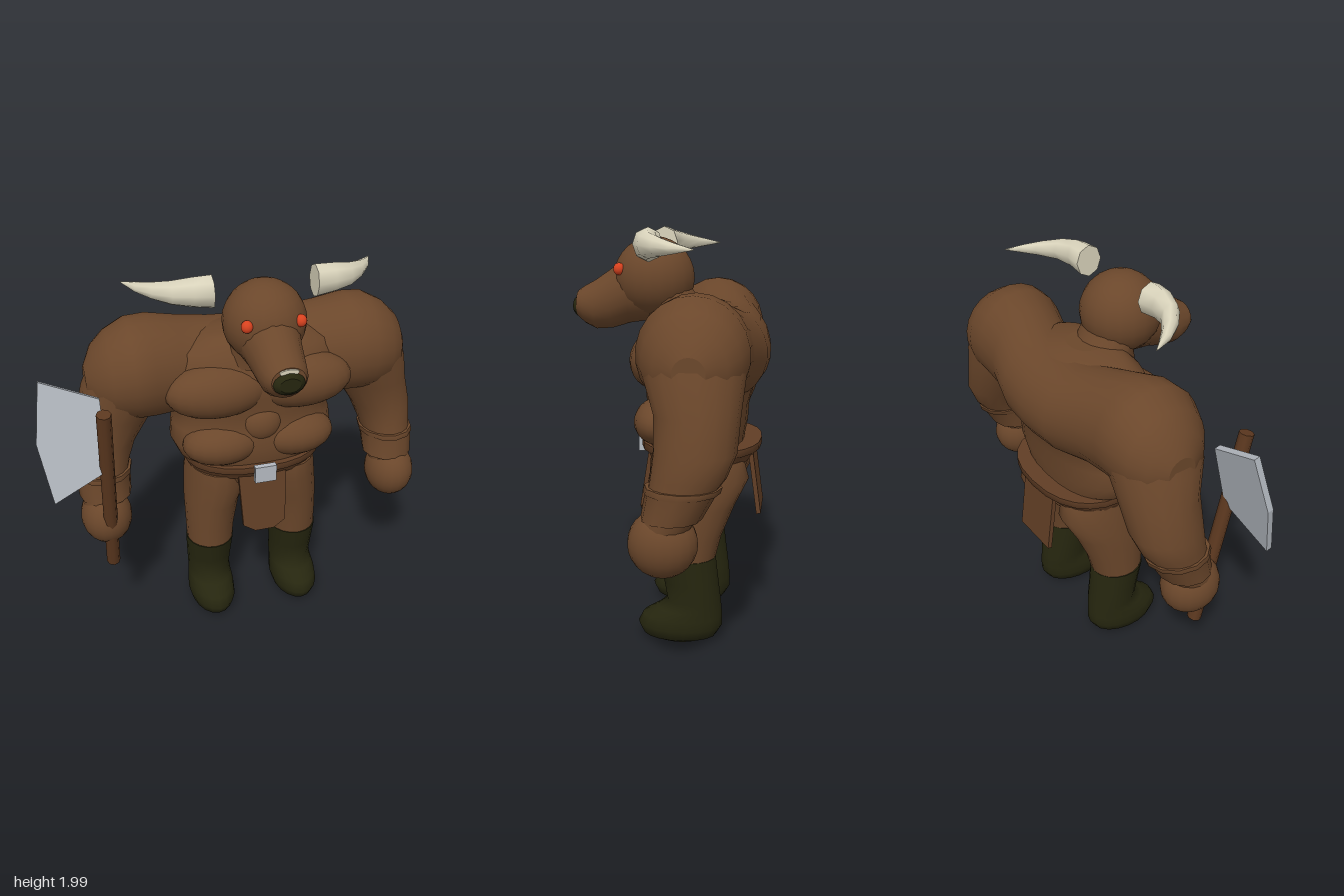
import * as THREE from 'three';

const mat = (name, color) => {
  const m = new THREE.MeshStandardMaterial({ color });
  m.name = name;
  return m;
};

// Closed skin through elliptical rings along one axis, in increasing order.
// Ring: [t, u, v, ru, rv]; (u, v) is (y, z) for x, (z, x) for y, (x, y) for z.
function loft(axis, rings, n = 18, power = 1) {
  const t = 'xyz'.indexOf(axis), u = (t + 1) % 3, v = (t + 2) % 3;
  const pos = [], idx = [];
  const add = (a, b, c) => {
    const p = [0, 0, 0];
    p[t] = a; p[u] = b; p[v] = c;
    return pos.push(...p) / 3 - 1;
  };
  const bend = k => Math.sign(k) * Math.abs(k) ** power;
  const ring = ([a, b, c, ru, rv]) => {
    for (let j = 0; j < n; j++) {
      const w = j / n * Math.PI * 2;
      add(a, b + ru * bend(Math.cos(w)), c + rv * bend(Math.sin(w)));
    }
  };
  rings.forEach(ring);
  for (let i = 0; i < rings.length - 1; i++) for (let j = 0; j < n; j++) {
    const a = i * n + j, b = i * n + (j + 1) % n;
    idx.push(a, b, b + n, a, b + n, a + n);
  }
  [rings[0], rings[rings.length - 1]].forEach((r, end) => {
    const s = pos.length / 3;
    ring(r);
    const c = add(r[0], r[1], r[2]);
    for (let j = 0; j < n; j++) {
      const a = s + j, b = s + (j + 1) % n;
      end ? idx.push(c, a, b) : idx.push(c, b, a);
    }
  });
  const g = new THREE.BufferGeometry();
  g.setAttribute('position', new THREE.Float32BufferAttribute(pos, 3));
  g.setIndex(idx);
  g.computeVertexNormals();
  return g;
}

// Ring of an upright loft from its half width, front z and back z
const span = (y, hw, front, back, x = 0) => [y, (front + back) / 2, x, (front - back) / 2, hw];

const ball = (x, y, z, rx, ry, rz) =>
  new THREE.SphereGeometry(1, 20, 14).scale(rx, ry, rz).translate(x, y, z);

const plate = (points, depth) => new THREE.ExtrudeGeometry(
  new THREE.Shape(points.map(p => new THREE.Vector2(...p))),
  { depth, bevelEnabled: false }).translate(0, 0, -depth / 2);

// Copy reflected in x, with the corner order turned round
function mirrored(g) {
  const m = g.clone().scale(-1, 1, 1), a = m.index.array;
  for (let i = 0; i < a.length; i += 3) [a[i], a[i + 1]] = [a[i + 1], a[i]];
  m.computeVertexNormals();
  return m;
}

export function createModel() {
  const hide = mat('brown hide', 0x6b472b), leather = mat('leather', 0x613e25);
  const boot = mat('dark boot', 0x26260f), horn = mat('ivory', 0xdad4bc);
  const red = mat('red eye', 0xd8421f), steel = mat('steel', 0xb4b9c0);
  const wood = mat('wood', 0x5c381f);

  const root = new THREE.Group();
  root.name = 'hornedWarrior';
  const body = new THREE.Group();
  body.name = 'body';
  body.position.x = 0.085;
  root.add(body);

  const part = (name, g, m, parent = body) => {
    const mesh = new THREE.Mesh(g, m);
    mesh.name = name;
    parent.add(mesh);
    return mesh;
  };
  const pair = (name, g, m) => {
    part('left' + name, g, m);
    part('right' + name, mirrored(g), m);
  };

  // Torso, with the thick yoke that joins both shoulders
  part('torso', loft('y', [
    span(0.8, 0.2, 0.03, -0.33), span(0.87, 0.33, 0.08, -0.38), span(0.98, 0.35, 0.1, -0.36),
    span(1.0, 0.385, 0.11, -0.36), span(1.08, 0.42, 0.12, -0.375), span(1.17, 0.41, 0.11, -0.38),
    span(1.25, 0.385, 0.09, -0.4), span(1.36, 0.44, 0.12, -0.43), span(1.48, 0.46, 0.11, -0.42),
    span(1.58, 0.4, 0.07, -0.38), span(1.64, 0.25, 0.02, -0.28), span(1.66, 0.1, 0, -0.2)
  ], 28, 0.85), hide);
  const half = [
    [0.18, 1.425, -0.245, 0.225, 0.225], [0.36, 1.455, -0.2, 0.24, 0.22],
    [0.5, 1.475, -0.175, 0.255, 0.24], [0.6, 1.475, -0.17, 0.25, 0.245],
    [0.7, 1.455, -0.175, 0.215, 0.21], [0.77, 1.44, -0.18, 0.16, 0.155],
    [0.815, 1.43, -0.18, 0.07, 0.07]];
  part('shoulderYoke', loft('x', [
    ...half.map(([x, ...r]) => [-x, ...r]).reverse(), [0, 1.415, -0.255, 0.22, 0.225], ...half
  ], 22), hide);
  pair('Pectoral', ball(0.21, 1.4, 0.03, 0.26, 0.14, 0.135), hide);
  pair('Belly', ball(0.19, 1.1, 0.02, 0.2, 0.115, 0.135), hide);
  part('upperAbdomen', ball(0, 1.2, 0.05, 0.11, 0.1, 0.08), hide);

  // Arms, cuffs and fists
  pair('Arm', loft('y', [
    [0.78, -0.08, 0.785, 0.11, 0.11], [0.9, -0.13, 0.78, 0.13, 0.122],
    [1.0, -0.175, 0.765, 0.16, 0.138], [1.1, -0.2, 0.745, 0.175, 0.16],
    [1.25, -0.2, 0.68, 0.185, 0.19], [1.4, -0.18, 0.62, 0.22, 0.215],
    [1.55, -0.17, 0.57, 0.22, 0.2]]), hide);
  pair('Cuff', loft('y', [
    [0.82, -0.105, 0.775, 0.13, 0.132], [0.93, -0.145, 0.773, 0.15, 0.139],
    [0.935, -0.148, 0.773, 0.163, 0.145], [0.96, -0.155, 0.77, 0.163, 0.145]], 12), hide);
  pair('Fist', ball(0.785, 0.71, -0.07, 0.13, 0.15, 0.15), hide);

  // Legs and boots
  pair('Leg', loft('y', [
    span(0.42, 0.123, 0.028, -0.238, 0.235), span(0.55, 0.13, 0.04, -0.27, 0.23),
    span(0.7, 0.145, 0.06, -0.33, 0.215), span(0.83, 0.165, 0.085, -0.395, 0.185),
    span(0.92, 0.16, 0.08, -0.37, 0.18)]), hide);
  pair('Boot', loft('y', [
    span(0.01, 0.06, 0.03, -0.17, 0.24), span(0.04, 0.11, 0.11, -0.25, 0.24),
    span(0.09, 0.125, 0.135, -0.28, 0.24), span(0.14, 0.122, 0.11, -0.28, 0.24),
    span(0.18, 0.116, 0.04, -0.277, 0.238), span(0.22, 0.114, -0.01, -0.273, 0.237),
    span(0.32, 0.12, 0.008, -0.26, 0.237), span(0.445, 0.128, 0.035, -0.245, 0.235)]), boot);

  // Belt, buckle and hanging flaps
  part('belt', loft('y', [
    span(0.905, 0.335, 0.1, -0.4), span(0.945, 0.345, 0.12, -0.42),
    span(0.955, 0.36, 0.14, -0.445), span(0.99, 0.36, 0.14, -0.445)], 24, 0.85), leather);
  part('buckle', new THREE.BoxGeometry(0.11, 0.09, 0.03).translate(0, 0.955, 0.145), steel);
  const front = part('frontFlap', plate(
    [[-0.125, 0], [-0.112, -0.28], [-0.05, -0.32], [0.05, -0.32], [0.112, -0.28], [0.125, 0]], 0.022), leather);
  front.position.set(0, 0.92, 0.09);
  front.rotation.x = -0.16;
  const back = part('backFlap', plate([[-0.13, 0], [-0.13, -0.3], [0.13, -0.3], [0.13, 0]], 0.022), leather);
  back.position.set(0, 0.93, -0.4);
  back.rotation.x = 0.14;

  // Head, neck and snout
  part('neck', loft('y', [
    [1.52, -0.06, 0, 0.18, 0.2], [1.62, -0.01, 0, 0.14, 0.15], [1.74, 0.06, 0, 0.14, 0.15]]), hide);
  part('head', ball(0, 1.76, 0.088, 0.196, 0.194, 0.196), hide);
  part('snout', loft('z', [
    [0.08, 0, 1.73, 0.17, 0.17], [0.2, 0, 1.7, 0.14, 0.158], [0.29, 0, 1.66, 0.122, 0.145],
    [0.37, 0, 1.63, 0.112, 0.12], [0.425, 0, 1.628, 0.1, 0.092], [0.458, 0, 1.632, 0.08, 0.066]]), hide);
  part('nose', loft('z', [
    [0.44, 0, 1.622, 0.076, 0.055], [0.465, 0, 1.622, 0.074, 0.052], [0.48, 0, 1.622, 0.05, 0.034]], 12), boot);
  part('nosePatch', loft('z', [
    [0.456, 0, 1.676, 0.048, 0.018], [0.463, 0, 1.676, 0.044, 0.015]], 10), horn);
  pair('Eye', ball(0.125, 1.805, 0.235, 0.027, 0.029, 0.027), red);
  pair('Horn', loft('x', [
    [0.24, 1.92, 0.075, 0.078, 0.068], [0.33, 1.925, 0.072, 0.07, 0.06],
    [0.42, 1.922, 0.045, 0.056, 0.052], [0.5, 1.917, -0.02, 0.038, 0.046],
    [0.56, 1.913, -0.09, 0.021, 0.035], [0.607, 1.91, -0.17, 0.003, 0.005]], 8), horn);

  // Axe in the right hand
  const axe = new THREE.Group();
  axe.name = 'axe';
  root.add(axe);
  const handle = part('axeHandle', new THREE.CylinderGeometry(0.035, 0.035, 1.04, 8), wood, axe);
  handle.position.set(-0.693, 0.945, 0.095);
  handle.rotation.x = 0.222;
  const blade = part('axeBlade', plate(
    [[-0.955, 0.295], [-1, 0.005], [-0.955, -0.295], [-0.69, -0.17], [-0.69, 0.18]], 0.03), steel, axe);
  blade.position.set(0, 1.27, 0.087);
  blade.rotation.x = -0.25;
  return root;
}
